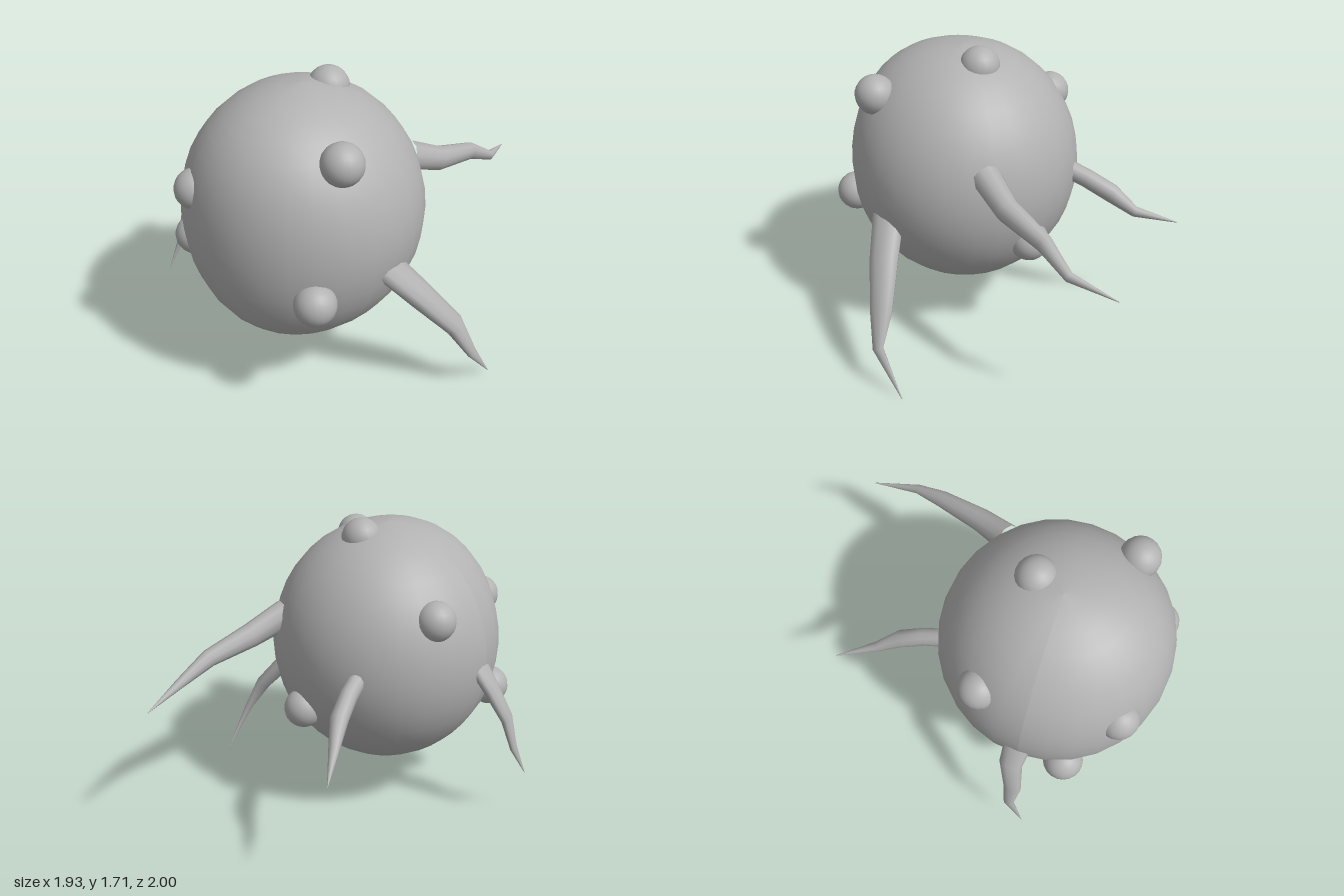
import * as THREE from 'three';

const skin = new THREE.MeshStandardMaterial({ color: 0xb2b2b2 });
skin.name = 'grey skin';

// Tapering tentacle through points [x, y, z, wide radius]; flat is thickness / width
function tentacleGeometry(points, wideDir, flat, sides = 10) {
  const pos = [], index = [];
  const path = points.map(p => new THREE.Vector3(p[0], p[1], p[2]));
  path.forEach((p, i) => {
    const t = path[Math.min(i + 1, path.length - 1)].clone()
      .sub(path[Math.max(i - 1, 0)]).normalize();
    const u = wideDir.clone().addScaledVector(t, -wideDir.dot(t)).normalize();
    const v = t.clone().cross(u);
    const r = points[i][3];
    for (let j = 0; j < sides; j++) {
      const a = j / sides * Math.PI * 2;
      const q = p.clone().addScaledVector(u, r * Math.cos(a)).addScaledVector(v, r * flat * Math.sin(a));
      pos.push(q.x, q.y, q.z);
      if (i < path.length - 1) {
        const k = i * sides, n = (j + 1) % sides;
        index.push(k + j, k + n, k + sides + j, k + n, k + sides + n, k + sides + j);
      }
    }
  });
  const g = new THREE.BufferGeometry();
  g.setAttribute('position', new THREE.Float32BufferAttribute(pos, 3));
  g.setIndex(index);
  g.computeVertexNormals();
  return g;
}

// Ball body, squared off a little toward the front
function bodyGeometry() {
  const g = new THREE.SphereGeometry(1, 28, 20);
  const p = g.attributes.position;
  for (let i = 0; i < p.count; i++) {
    const y = p.getY(i), z = p.getZ(i);
    const swell = z > 0 ? 1 + 0.2 * y * y : 1;
    p.setXYZ(i, p.getX(i) * 0.66, y * 0.71, z * 0.655 * swell);
  }
  g.computeVertexNormals();
  return g;
}

export function createModel() {
  const model = new THREE.Group();
  const add = (name, geometry, position = [0, 0, 0]) => {
    const mesh = new THREE.Mesh(geometry, skin);
    mesh.name = name;
    mesh.position.set(...position);
    model.add(mesh);
  };

  add('body', bodyGeometry(), [-0.07, 0.96, 0.34]);

  // Round bumps half sunk into the body
  const bump = new THREE.SphereGeometry(0.112, 20, 14);
  [
    [0, 1.6, 0.18], [0.34, 1.45, 0.64], [-0.44, 1.17, 0.79], [-0.64, 0.71, 0.58],
    [0.31, 0.755, 0.865], [-0.55, 1.27, 0.06], [0.12, 0.68, -0.22],
  ].forEach((p, i) => add('bump' + (i + 1), bump, p));

  // Four crooked tentacles
  const alongZ = new THREE.Vector3(0, 0, 1), alongY = new THREE.Vector3(0, 1, 0);
  add('leftTentacle', tentacleGeometry([
    [0.5, 0.82, 0.47, 0.1], [0.66, 0.64, 0.39, 0.09], [0.83, 0.43, 0.29, 0.07],
    [0.925, 0.25, 0.25, 0.035], [0.965, 0.003, 0.07, 0.002]], alongZ, 0.6));
  add('rightTentacle', tentacleGeometry([
    [-0.66, 0.98, 0.33, 0.08], [-0.78, 0.83, 0.32, 0.065], [-0.87, 0.65, 0.36, 0.05],
    [-0.925, 0.48, 0.36, 0.03], [-0.967, 0.28, 0.455, 0.002]], alongZ, 0.55));
  add('backLeftTentacle', tentacleGeometry([
    [0.34, 1.16, -0.08, 0.085], [0.44, 1.07, -0.28, 0.07], [0.52, 1.01, -0.55, 0.05],
    [0.58, 0.91, -0.73, 0.028], [0.56, 0.855, -1, 0.002]], alongY, 0.95));
  add('backRightTentacle', tentacleGeometry([
    [-0.25, 0.99, -0.18, 0.055], [-0.28, 0.93, -0.36, 0.055], [-0.315, 0.86, -0.5, 0.055],
    [-0.37, 0.75, -0.63, 0.032], [-0.485, 0.69, -0.85, 0.002]], alongY, 0.9));

  return model;
}
